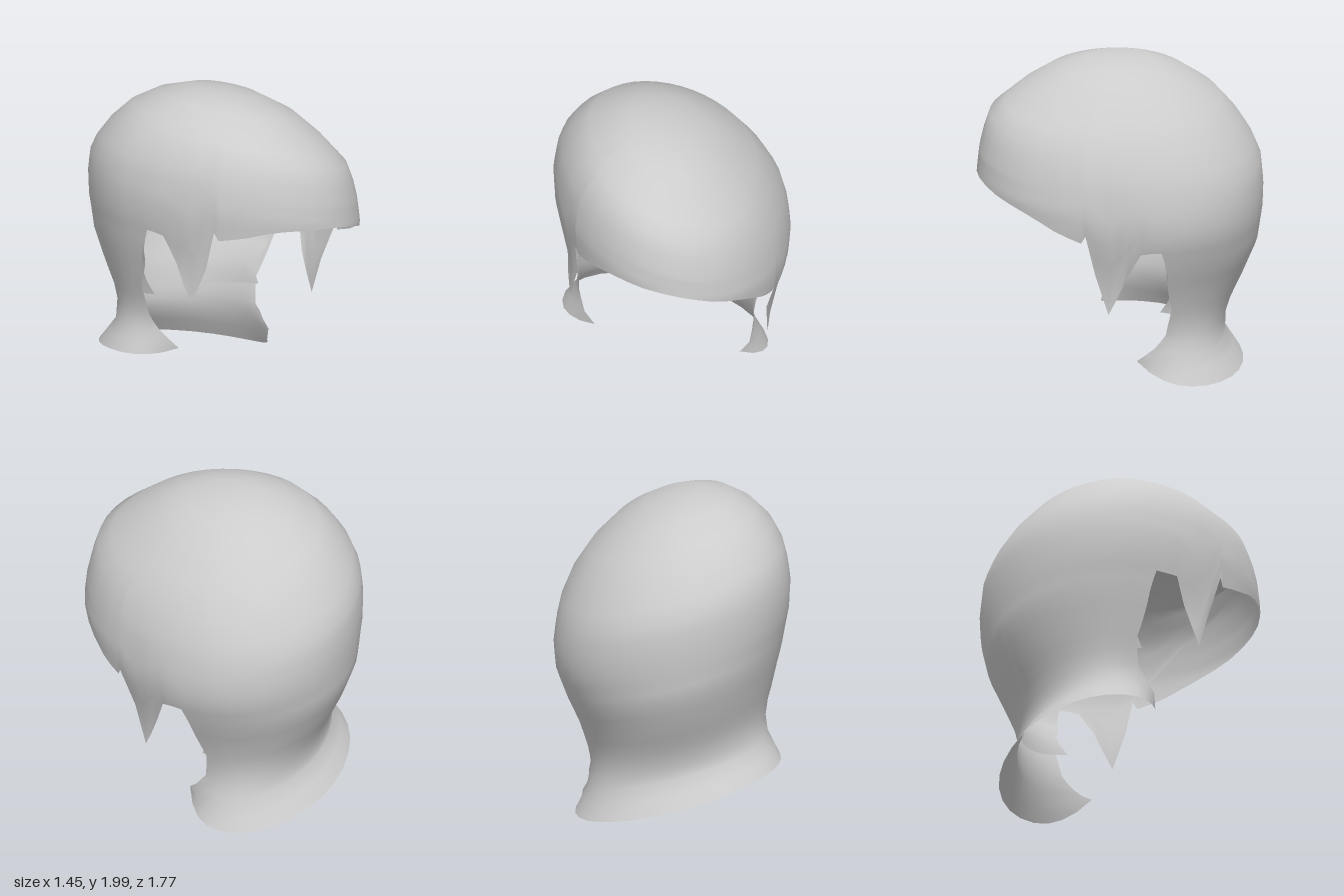
import * as THREE from 'three';
import { mergeVertices } from 'three/addons/utils/BufferGeometryUtils.js';

const SHEAR = 0.27;   // the whole shell leans: its left side hangs lower
const RIM = 1.04;     // height of the ear cut-out
const EAR = 1.52;     // angle from the front where the nape begins

// Front edge of the nape: height, angle from the front
const NAPE_EDGE = [
  [RIM, EAR], [0.92, 1.57], [0.77, 1.6], [0.65, 1.65], [0.5, 1.57], [0.36, 1.33], [0.16, 0.78],
];

// Outer hair. Sections: height, half width, front z, back z, centre z.
// Edge of the cap (fringe, sideburn, ear cut-out): angle from the front, height.
const OUTER = {
  sections: [
    [1.97, 0, 0, 0, 0], [1.95, 0.18, 0.22, -0.22, -0.01], [1.87, 0.37, 0.46, -0.44, -0.04],
    [1.76, 0.51, 0.63, -0.61, -0.07], [1.62, 0.62, 0.81, -0.74, -0.1],
    [1.5, 0.68, 0.85, -0.82, -0.13], [1.4, 0.705, 0.875, -0.865, -0.15],
    [1.26, 0.725, 0.89, -0.88, -0.15], [1.11, 0.715, 0.87, -0.875, -0.15],
    [0.9, 0.66, 0.82, -0.85, -0.13], [0.72, 0.6, 0.77, -0.775, -0.13],
    [0.55, 0.55, 0.6, -0.69, -0.16], [0.46, 0.535, 0.4, -0.655, -0.2],
    [0.33, 0.55, 0.22, -0.645, -0.24], [0.16, 0.63, 0.11, -0.76, -0.27],
  ],
  edge: [
    [0, 1.26], [0.15, 1.255], [0.3, 1.24], [0.44, 1.225], [0.57, 1.205], [0.69, 1.175],
    [0.82, 1.13], [0.91, 1.105], [1, 1.08], [1.03, 1.13], [1.096, 0.87], [1.19, 0.63],
    [1.25, 0.74], [1.31, 0.87], [1.383, 1.03], [1.45, RIM], [EAR, RIM],
  ],
  capRows: [1.97, 1.95, 1.91, 1.87, 1.76, 1.69, 1.62, 1.5, 1.4, 1.32, 1.25, 1.18, 1.11, RIM],
  napeRows: [0.97, 0.9, 0.81, 0.72, 0.63, 0.55, 0.46, 0.4, 0.33, 0.25, 0.16],
  bend: 1.4,          // cap rows below this follow the edge
  napeBend: 0.46,     // nape rows below this follow the hem
  hem: (t) => 0.16 + 0.02 * t + 0.09 * t ** 6,
};

// Inner lining: a vault from behind the fringe back to the pinch of the neck
const LINING = {
  sections: [
    [1.69, 0, 0, 0, 0], [1.67, 0.25, 0.4, -0.18, 0.02], [1.61, 0.48, 0.76, -0.34, -0.02],
    [1.47, 0.63, 0.83, -0.54, -0.08], [1.3, 0.69, 0.86, -0.68, -0.12],
    [1.11, 0.69, 0.84, -0.77, -0.14], [0.9, 0.64, 0.8, -0.79, -0.13],
    [0.72, 0.58, 0.77, -0.74, -0.13], [0.55, 0.54, 0.6, -0.67, -0.16],
    [0.43, 0.525, 0.4, -0.64, -0.2],
  ],
  edge: [
    [0, 1.56], [0.2, 1.54], [0.4, 1.51], [0.57, 1.46], [0.73, 1.4], [0.9, 1.26],
    [1.03, 1.14], [1.15, 1.05], [1.3, RIM], [1.4, RIM], [EAR, RIM],
  ],
  capRows: [1.69, 1.67, 1.64, 1.61, 1.54, 1.47, 1.38, 1.3, 1.2, 1.11, RIM],
  napeRows: [0.97, 0.9, 0.81, 0.72, 0.63, 0.55, 0.43],
  bend: 1.61,
  napeBend: 0.9,
  hem: (t) => 0.43 + 0.17 * t,
};

// Linear lookup in a table sorted by falling first value
function lookup(table, key, col) {
  let i = 1;
  while (i < table.length - 1 && table[i][0] > key) i++;
  const a = table[i - 1], b = table[i];
  const t = THREE.MathUtils.clamp((key - a[0]) / (b[0] - a[0]), 0, 1);
  return a[col] + (b[col] - a[col]) * t;
}

// Below `from`, rescale heights so that `oldEnd` lands on `newEnd`
const stretch = (y, from, oldEnd, newEnd) =>
  y >= from ? y : from + (y - from) * (newEnd - from) / (oldEnd - from);

// Point at height y on the section belonging to height `level`
function pointOn(sections, level, y, angle) {
  const [w, front, back, c] = [1, 2, 3, 4].map((k) => lookup(sections, level, k));
  const x = w * Math.sin(angle), cos = Math.cos(angle);
  const z = c + (cos > 0 ? front - c : c - back) * cos;
  // The lower parts swing slightly to the right
  const swing = 0.035 * THREE.MathUtils.smoothstep(1.2 - y, 0, 0.6);
  return [x - swing, y - SHEAR * x, z];
}

function layerGeometry({ sections, edge, capRows, napeRows, bend, napeBend, hem }) {
  // Columns run from the front round one side to the back, then mirrored
  const half = edge.map(([angle, bottom]) => ({ angle, bottom }));
  for (let i = 1; i <= 11; i++) {
    half.push({ angle: EAR + (Math.PI - EAR) * i / 11, bottom: RIM });
  }
  const mirrored = half.slice(1, -1).reverse().map((c) => ({ ...c, angle: -c.angle }));
  const cols = [...half, ...mirrored];
  const n = cols.length;
  const rows = [...capRows, ...napeRows];
  const inNape = (j) => Math.abs(cols[j].angle) >= EAR - 1e-6;

  const positions = [], index = [];
  rows.forEach((level, i) => {
    for (const { angle, bottom } of cols) {
      if (i < capRows.length) {
        // Sideburns keep the width of the head and hang straight down
        const y = stretch(level, bend, RIM, bottom);
        positions.push(...pointOn(sections, Math.max(y, 0.87), y, angle));
      } else {
        // Nape columns fan forward towards the flared collar corners
        const t = Math.max(0, (Math.PI - Math.abs(angle)) / (Math.PI - EAR));
        const a = Math.PI - t * (Math.PI - lookup(NAPE_EDGE, level, 1));
        const y = stretch(level, napeBend, napeRows.at(-1), hem(t));
        positions.push(...pointOn(sections, level, y, a * Math.sign(angle)));
      }
    }
  });

  for (let i = 0; i < rows.length - 1; i++) {
    for (let j = 0; j < n; j++) {
      const k = (j + 1) % n;
      if (i >= capRows.length - 1 && !(inNape(j) && inNape(k))) continue;
      const a = i * n + j, b = i * n + k;
      index.push(a, a + n, b, b, a + n, b + n);
    }
  }

  const geometry = new THREE.BufferGeometry();
  geometry.setAttribute('position', new THREE.Float32BufferAttribute(positions, 3));
  geometry.setIndex(index);
  const merged = mergeVertices(geometry, 1e-4);
  merged.computeVertexNormals();
  return merged;
}

export function createModel() {
  const group = new THREE.Group();
  group.name = 'hairShell';
  const material = new THREE.MeshStandardMaterial({ color: 0xcccccc, side: THREE.DoubleSide });
  for (const [name, layer] of Object.entries({ hair: OUTER, innerLining: LINING })) {
    const mesh = new THREE.Mesh(layerGeometry(layer), material);
    mesh.name = name;
    group.add(mesh);
  }
  return group;
}
